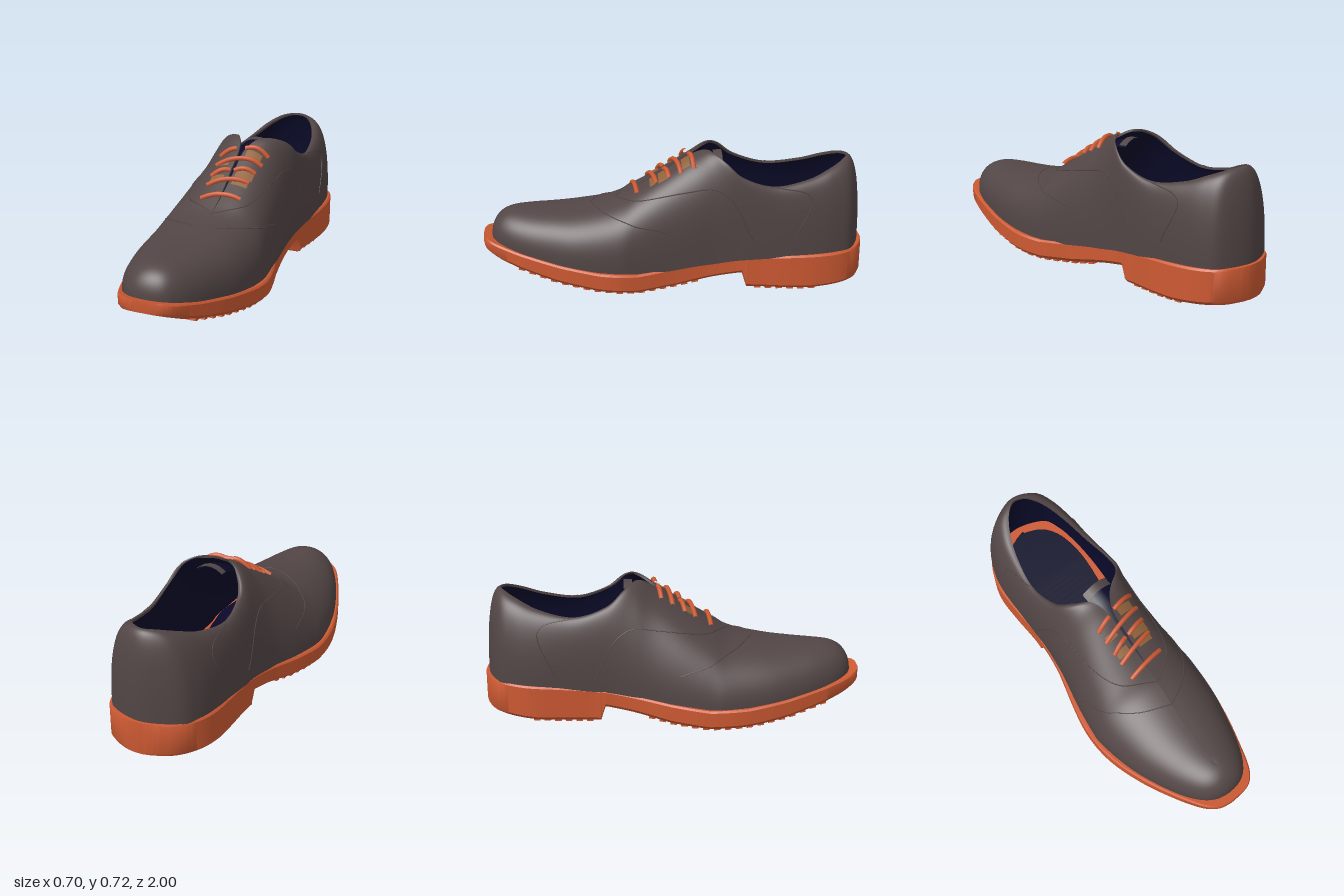
import * as THREE from 'three';
import { toCreasedNormals } from 'three/addons/utils/BufferGeometryUtils.js';

const mat = (name, color, side = THREE.FrontSide) => {
  const m = new THREE.MeshStandardMaterial({ color, side });
  m.name = name;
  return m;
};
const V = (x, y, z) => new THREE.Vector3(x, y, z);
const lerp = THREE.MathUtils.lerp;

// Skin a list of rings; outward side is (along ring) x (ring to ring)
function loft(rings, { loopU = false, loopV = false, caps = false } = {}) {
  const n = rings.length, m = rings[0].length, idx = [];
  for (let i = 0; i < (loopU ? n : n - 1); i++) {
    for (let j = 0; j < (loopV ? m : m - 1); j++) {
      const i2 = (i + 1) % n, j2 = (j + 1) % m;
      const a = i * m + j, b = i * m + j2, c = i2 * m + j, d = i2 * m + j2;
      idx.push(a, b, c, b, d, c);
    }
  }
  if (caps) {
    const e = (n - 1) * m;
    for (let j = 1; j < m - 1; j++) idx.push(0, j + 1, j, e, e + j, e + j + 1);
  }
  const g = new THREE.BufferGeometry().setFromPoints(rings.flat());
  g.setIndex(idx);
  g.computeVertexNormals();
  return g;
}

// Piecewise linear lookup in [z, value] pairs with falling z
function lookup(table, z) {
  for (let i = 1; i < table.length; i++) {
    const [z0, a] = table[i - 1], [z1, b] = table[i];
    if (z >= z1) return lerp(a, b, THREE.MathUtils.clamp((z - z0) / (z1 - z0), 0, 1));
  }
  return table[table.length - 1][1];
}

// Sole outline from toe to heel: z, outer x, inner x
const OUTLINE = [
  [1, -.045, .05], [.987, -.095, .097], [.95, -.142, .14], [.89, -.182, .177], [.77, -.238, .228],
  [.62, -.295, .283], [.45, -.34, .328], [.3, -.355, .35], [.15, -.34, .33], [0, -.3, .3],
  [-.2, -.24, .285], [-.4, -.213, .305], [-.6, -.21, .335], [-.75, -.2, .337], [-.86, -.16, .315],
  [-.94, -.095, .265], [-.985, -.01, .185], [-1, .045, .13]];
const SOLE_TOP = [[1, .25], [.8, .197], [.6, .157], [.4, .128], [.2, .116], [0, .133], [-.2, .16], [-.35, .183], [-.6, .198], [-1, .21]];
const SOLE_BOTTOM = [[1, .19], [.9, .145], [.8, .11], [.6, .06], [.4, .028], [.2, .014], [0, .03], [-.2, .068], [-.345, .092], [-.37, .014], [-.7, .014], [-1, .035]];
const left = OUTLINE.map(([z, x]) => [z, x]), right = OUTLINE.map(([z, , x]) => [z, x]);

// Upper from toe to heel: base z, xLow, xHigh, y, then top edge z, xLow, xHigh, y
const UPPER = [
  [.958, 0, 0, .225, .8, 0, 0, .385], [.94, -.088, .088, .222, .79, 0, 0, .386],
  [.88, -.158, .152, .21, .77, 0, 0, .387], [.78, -.217, .207, .188, .7, 0, 0, .388],
  [.65, -.268, .255, .16, .62, .01, .01, .39], [.5, -.31, .3, .137, .5, .02, .02, .4],
  [.3, -.335, .327, .116, .33, .045, .045, .435], [.2, -.325, .32, .11, .2, .051, .057, .5],
  [.05, -.295, .308, .12, .05, .046, .064, .59], [-.1, -.255, .3, .14, -.08, .042, .074, .675],
  [-.2, -.235, .295, .15, -.17, .008, .13, .72], [-.3, -.22, .3, .165, -.235, -.06, .22, .695],
  [-.4, -.213, .31, .175, -.33, -.118, .26, .615], [-.55, -.205, .322, .185, -.5, -.132, .265, .56],
  [-.7, -.195, .322, .188, -.68, -.09, .242, .585], [-.83, -.165, .305, .19, -.8, -.035, .202, .63],
  [-.925, -.1, .255, .195, -.875, .025, .148, .66], [-.985, .08, .08, .195, -.905, .085, .085, .667]];
const COUNT = 2 * UPPER.length - 2;

function edgeLoop(k) {
  const lo = UPPER.map(r => V(r[k + 1], r[k + 3], r[k]));
  const hi = UPPER.slice(1, -1).reverse().map(r => V(r[k + 2], r[k + 3], r[k]));
  return new THREE.CatmullRomCurve3([...lo, ...hi], true, 'catmullrom', .5);
}
const baseLoop = edgeLoop(0), topLoop = edgeLoop(4);

// Point on the upper: t runs round the foot, v from the welt to the top edge;
// the inner side is fuller than the outer side
function upperPoint(t, v) {
  const b = baseLoop.getPoint(t), p = topLoop.getPoint(t);
  const e = .86 + .12 * Math.sin(2 * Math.PI * t);
  const c = Math.max(0, Math.cos(v * Math.PI / 2)) ** e, s = Math.sin(v * Math.PI / 2) ** e;
  return V(lerp(p.x, b.x, c), lerp(b.y, p.y, s), lerp(p.z, b.z, c));
}

// Foot-shaped slab following the sole outline
function slab(inset, zScale, bottom, top, round) {
  const curve = new THREE.CatmullRomCurve3(OUTLINE.map(([z, a, b]) => V(a, b, z)), false, 'catmullrom', .5);
  const rows = curve.getPoints(102).concat([-.344, -.346, -.369, -.371].map(z => V(lookup(left, z), lookup(right, z), z)));
  rows.sort((a, b) => b.z - a.z);
  const rings = rows.map(r => {
    const z = r.z * zScale, a = Math.min(r.x + inset, r.y - .02), b = Math.max(r.y - inset, a + .01);
    const y0 = bottom(z), y1 = top(z), e = round;
    return [V(a + e / 2, y1, z), V(b - e / 2, y1, z), V(b, y1 - e / 2, z), V(b, y0 + e, z),
      V(b - e, y0, z), V(a + e, y0, z), V(a, y0 + e, z), V(a, y1 - e / 2, z)];
  });
  return toCreasedNormals(loft(rings, { loopV: true, caps: true }), .7);
}

export function createModel() {
  const group = new THREE.Group();
  const leather = mat('brown leather', 0x524545), rubber = mat('orange rubber', 0xcc5932);
  const tan = mat('tan welt', 0x8e623a);
  const navy = mat('navy lining', 0x0a0a2a, THREE.DoubleSide);
  const add = (name, geo, material) => {
    const mesh = new THREE.Mesh(geo, material);
    mesh.name = name;
    group.add(mesh);
    return mesh;
  };
  const topY = z => lookup(SOLE_TOP, z), bottomY = z => lookup(SOLE_BOTTOM, z);
  const nu = COUNT * 6, nv = 22;

  // Sole and insole
  add('sole', slab(0, 1, bottomY, topY, .018), rubber);
  add('insole', slab(.06, .92, z => topY(z) + .005, z => topY(z) + .03, .006), navy);

  // Welt: a band hugging the foot of the upper all the way round
  const weltRings = [];
  for (let i = 0; i < nu; i++) {
    const b = baseLoop.getPoint(i / nu), tangent = baseLoop.getTangent(i / nu);
    const out = V(tangent.z, 0, -tangent.x).normalize().negate();
    const y = topY(b.z);
    weltRings.push([[.015, -.012], [.015, .014], [.009, .021], [-.012, .024]].map(([d, h]) =>
      V(b.x + out.x * d, y + h, b.z + out.z * d)));
  }
  add('welt', loft(weltRings, { loopU: true }), tan);

  // Tread ribs under forefoot and heel
  const rib = z => {
    const a = lookup(left, z) + .028, b = lookup(right, z) - .028;
    const mesh = add('treadRib', new THREE.BoxGeometry(b - a, .026, .034), rubber);
    mesh.position.set((a + b) / 2, bottomY(z), z);
    mesh.rotation.x = -Math.atan2(bottomY(z + .03) - bottomY(z - .03), .06);
  };
  for (let z = -.1; z < .82; z += .056) rib(z);
  for (let z = -.43; z > -.74; z -= .056) rib(z);

  // Dark inlays under toe and heel
  const inlay = (name, cx, cz, rx, rz, drop, material) => {
    const g = new THREE.CircleGeometry(1, 32).rotateX(Math.PI / 2).scale(rx, 1, rz).translate(cx, 0, cz);
    const p = g.attributes.position;
    for (let i = 0; i < p.count; i++) p.setY(i, bottomY(p.getZ(i)) - drop);
    g.computeVertexNormals();
    add(name, g, material);
  };
  inlay('toeInlay', .005, .88, .15, .045, .004, leather);
  inlay('heelInlayBorder', .075, -.862, .15, .098, .004, leather);
  inlay('heelInlay', .075, -.855, .13, .08, .007, navy);

  // Upper, with lining offset inwards and a rim joining the two
  const outer = [];
  for (let i = 0; i < nu; i++) {
    outer.push(Array.from({ length: nv + 1 }, (_, j) => upperPoint(i / nu, j / nv)));
  }
  const upperGeo = loft(outer, { loopU: true });
  const normal = upperGeo.attributes.normal;
  const inner = outer.map((ring, i) => ring.map((p, j) =>
    p.clone().addScaledVector(V().fromBufferAttribute(normal, i * (nv + 1) + j), -.012)));
  const upper = add('upper', upperGeo, leather);
  add('lining', loft(inner.map(r => [...r].reverse()), { loopU: true }), navy);
  add('collarRim', loft(outer.map((r, i) => [r[nv], inner[i][nv]]), { loopU: true }), leather);

  // Tongue under the lacing slit
  const RIDGE = [[.22, .485], [.05, .59], [-.08, .675], [-.17, .717], [-.25, .722]];
  const tongue = (z0, z1, lift) => {
    const rings = [];
    for (let i = 0; i <= 10; i++) {
      const z = lerp(z0, z1, i / 10);
      rings.push([-1, -.6, -.2, .2, .6, 1].map(s => V(.085 + .075 * s, lookup(RIDGE, z) - .028 + lift - .03 * s * s, z)));
    }
    return loft(rings);
  };
  add('tongue', tongue(.22, -.245, 0), navy);
  add('tongueTip', tongue(-.205, -.25, .008), leather);

  // Height of the upper seen from above, or nothing over the slit
  upper.updateMatrixWorld(true);
  const ray = new THREE.Raycaster();
  const heightAt = (x, z) => {
    ray.set(V(x, 2, z), V(0, -1, 0));
    const hit = ray.intersectObject(upper)[0];
    return hit && hit.point.y > .4 ? hit.point.y : undefined;
  };

  // Laces draped over the upper: start x, z and end x, z
  const LACES = [[-.05, .212, .16, .19], [-.05, .13, .165, .09], [-.05, .075, .055, .045],
    [.055, .05, .175, .025], [-.05, .01, .19, -.035], [-.05, -.05, .07, -.075], [.065, -.08, .2, -.1]];
  for (const [x0, z0, x1, z1] of LACES) {
    const pts = [];
    for (let i = 0; i <= 10; i++) {
      const f = i / 10, x = lerp(x0, x1, f), z = lerp(z0, z1, f), y = heightAt(x, z);
      if (y !== undefined) pts.push(V(x, y + .003 + .014 * Math.sin(Math.PI * f), z));
    }
    add('lace', new THREE.TubeGeometry(new THREE.CatmullRomCurve3(pts), 24, .0125, 8), rubber);
  }

  // Thin tan patches below the laces: x range, z range from front to back
  const PATCHES = [[.08, .165, .125, .095], [.08, .175, .08, .03], [-.045, .025, .11, .075],
    [-.045, .02, .02, -.01], [.09, .175, -.04, -.08]];
  for (const [x0, x1, z0, z1] of PATCHES) {
    const rings = [0, .25, .5, .75, 1].map(f => [0, .2, .4, .6, .8, 1].map(s => {
      const x = lerp(x0, x1, s), z = lerp(z0, z1, f);
      return V(x, heightAt(x, z) + .006, z);
    }));
    add('lacePatch', loft(rings), tan);
  }

  // Raised seams on both sides, as [row, height] steps on the upper
  const SEAMS = {
    wingSeam: [[8, .22], [6.8, .42], [5.8, .7], [5.4, 1]],
    quarterSeam: [[12, .1], [11, .35], [8.6, .5], [7, .72], [6.2, 1]],
    heelSeam: [[13, .92], [14, .5], [13.4, .12]],
  };
  for (const [name, steps] of Object.entries(SEAMS)) {
    const path = new THREE.CatmullRomCurve3(steps.map(([r, v]) => V(r, v, 0)));
    for (const side of [1, -1]) {
      const pts = path.getPoints(30).map(p => upperPoint((COUNT + side * p.x) / COUNT % 1, Math.min(p.y, 1)));
      add(name, new THREE.TubeGeometry(new THREE.CatmullRomCurve3(pts), 60, .003, 5), leather);
    }
  }
  return group;
}
